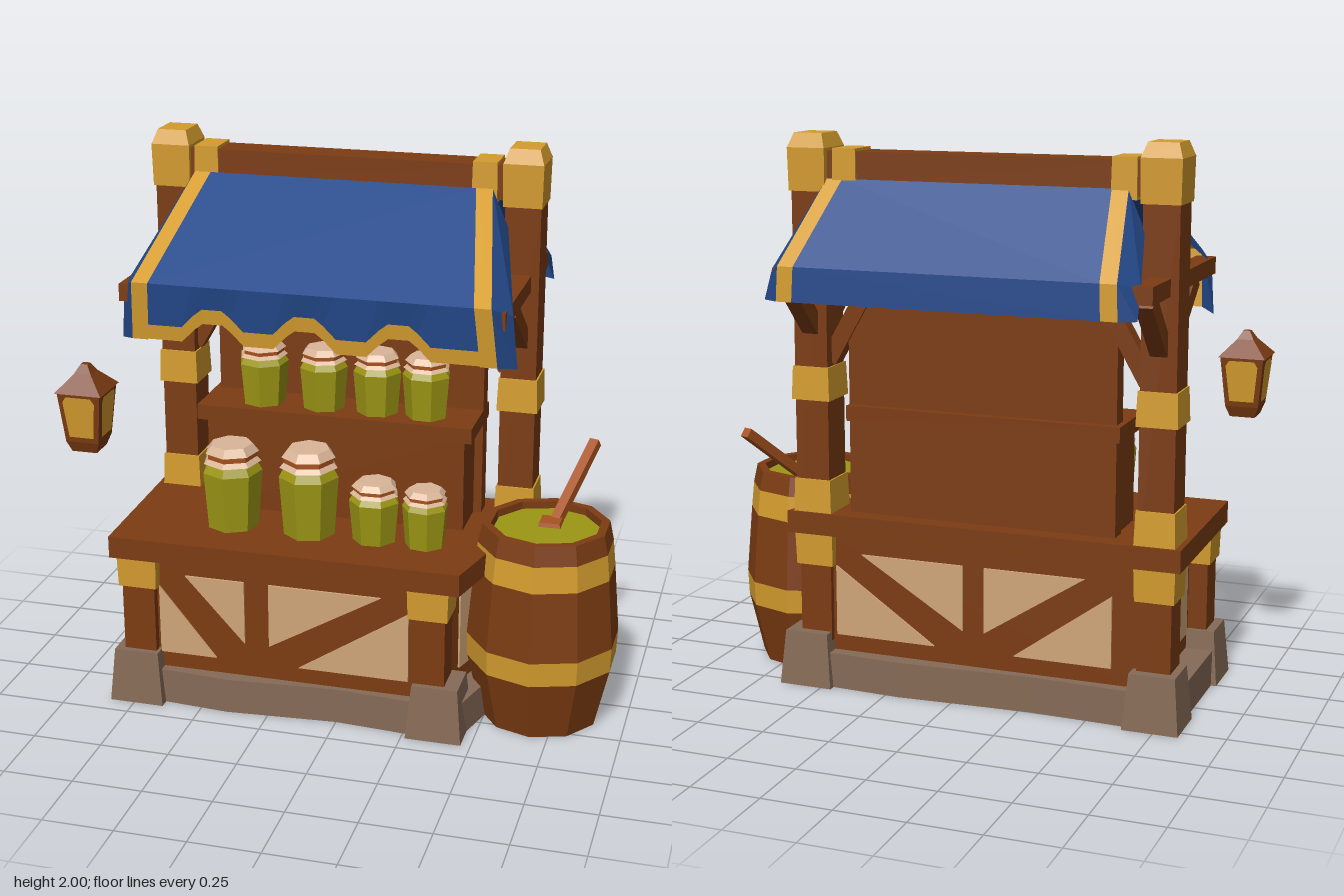
import * as THREE from 'three';

const mat = (name, color, side = THREE.FrontSide) =>
  Object.assign(new THREE.MeshStandardMaterial({ color, flatShading: true, side }), { name });

export function createModel() {
  const wood = mat('brown wood', 0x7c3c12);
  const gold = mat('gold', 0xd49c2e, THREE.DoubleSide);
  const blue = mat('blue cloth', 0x24498a, THREE.DoubleSide);
  const cream = mat('cream plaster', 0xd0a678);
  const stone = mat('stone', 0x866a56);
  const green = mat('pickle green', 0x9c9614);
  const orange = mat('orange wood', 0xa8521f);
  const linen = mat('linen lid', 0xdab698);

  const root = new THREE.Group();
  root.name = 'marketStall';
  const add = (name, geo, m, parent = root) => {
    const mesh = new THREE.Mesh(geo, m);
    mesh.name = name;
    parent.add(mesh);
    return mesh;
  };
  // Box standing on y0, with its top scaled by taper
  const block = (name, m, [x0, x1], [y0, y1], [z0, z1], taper = 1, parent = root) => {
    const geo = new THREE.BoxGeometry(x1 - x0, y1 - y0, z1 - z0);
    const p = geo.attributes.position;
    for (let i = 0; i < p.count; i++) if (p.getY(i) > 0) p.setXYZ(i, p.getX(i) * taper, p.getY(i), p.getZ(i) * taper);
    geo.translate((x0 + x1) / 2, (y0 + y1) / 2, (z0 + z1) / 2);
    return add(name, geo, m, parent);
  };
  // Upright prism over an xz outline
  const prism = (name, m, pts, y0, y1) => {
    const shape = new THREE.Shape(pts.map(([x, z]) => new THREE.Vector2(x, -z)));
    const geo = new THREE.ExtrudeGeometry(shape, { depth: y1 - y0, bevelEnabled: false });
    return add(name, geo.rotateX(-Math.PI / 2).translate(0, y0, 0), m);
  };
  // Square timber between two points
  const beam = (name, m, a, b, w, d = w) => {
    const A = new THREE.Vector3(...a), B = new THREE.Vector3(...b);
    const mesh = add(name, new THREE.BoxGeometry(w, d, A.distanceTo(B)), m);
    mesh.position.copy(A).lerp(B, 0.5);
    mesh.lookAt(B);
    return mesh;
  };
  // Sheet spanned by rows of points
  const sheet = (name, m, rows) => {
    const n = rows[0].length, index = [];
    for (let r = 0; r < rows.length - 1; r++)
      for (let c = 0; c < n - 1; c++) {
        const i = r * n + c;
        index.push(i, i + n, i + 1, i + 1, i + n, i + n + 1);
      }
    const geo = new THREE.BufferGeometry();
    geo.setAttribute('position', new THREE.Float32BufferAttribute(rows.flat(2), 3));
    geo.setIndex(index);
    geo.computeVertexNormals();
    return add(name, geo, m);
  };

  // Stone footing: uneven slab and four corner stones
  prism('footing', stone, [[-0.82, 0.38], [-0.4, 0.41], [0, 0.38], [0.44, 0.41], [0.63, -0.26], [0.2, -0.28], [-0.3, -0.25], [-0.82, -0.27]], 0, 0.13);
  for (const [x, z] of [[-0.74, 0.335], [0.365, 0.335], [0.56, -0.2], [-0.74, -0.2]])
    block('cornerStone', stone, [x - 0.1, x + 0.1], [0, 0.2], [z - 0.095, z + 0.095], 0.82);

  // Counter, narrower at the front
  prism('counterBody', wood, [[-0.72, 0.36], [0.36, 0.36], [0.54, -0.22], [-0.72, -0.22]], 0.1, 0.58);
  prism('counterTop', wood, [[-0.82, 0.43], [0.45, 0.43], [0.63, -0.27], [-0.83, -0.27]], 0.57, 0.65);
  for (const [x, z] of [[-0.73, 0.33], [0.335, 0.33], [0.535, -0.18], [-0.735, -0.18]]) {
    block('counterLeg', wood, [x - 0.06, x + 0.06], [0.15, 0.46], [z - 0.06, z + 0.06]);
    block('legCap', gold, [x - 0.07, x + 0.07], [0.45, 0.57], [z - 0.07, z + 0.07], 1.05);
  }

  // Plaster panels: two triangles beside each diagonal timber
  const panels = (name, list, z, turn) => {
    const g = new THREE.Group();
    g.name = name;
    g.rotation.y = turn;
    for (const [a, b] of list) {
      const s = Math.sign(b - a), lo = 0.19, hi = 0.5;
      for (const pts of [
        [[a, lo], [b - s * 0.11, lo], [a, hi - 0.05]],
        [[a + s * 0.1, hi], [b, hi], [b, lo + 0.07]]]) {
        const shape = new THREE.Shape(pts.map(p => new THREE.Vector2(...p)));
        add('plaster', new THREE.ExtrudeGeometry(shape, { depth: 0.008, bevelEnabled: false }).translate(0, 0, z), cream, g);
      }
    }
    root.add(g);
  };
  panels('frontPanels', [[-0.66, -0.34], [0.26, -0.25]], 0.36, 0);
  panels('backPanels', [[-0.46, 0.03], [0.58, 0.11]], 0.22, Math.PI);
  block('leftPanel', cream, [-0.728, -0.718], [0.19, 0.5], [-0.08, 0.23]);
  const side = add('rightPanel', new THREE.BoxGeometry(0.01, 0.31, 0.3), cream);
  side.position.set(0.452, 0.345, 0.07);
  side.rotation.y = -0.3;

  // Tall posts with gold bands, rafters and braces
  for (const [x, inner] of [[-0.735, 1], [0.535, -1]]) {
    const z = -0.18;
    block('post', wood, [x - 0.063, x + 0.063], [0.6, 1.85], [z - 0.068, z + 0.068]);
    for (const y of [0.65, 1.06])
      block('postBand', gold, [x - 0.073, x + 0.073], [y, y + 0.12], [z - 0.08, z + 0.08], 0.94);
    block('postCap', gold, [x - 0.068, x + 0.068], [1.8, 1.95], [z - 0.08, z + 0.08], 1.04);
    block('postCapTop', gold, [x - 0.07, x + 0.07], [1.95, 2], [z - 0.083, z + 0.083], 0.75);
    beam('rafter', wood, [x, 1.53, 0.35], [x, 1.53, -0.46], 0.07, 0.06);
    beam('frontBrace', wood, [x, 1.32, -0.13], [x, 1.51, 0.13], 0.06);
    beam('backBrace', wood, [x, 1.32, -0.23], [x, 1.51, -0.42], 0.06);
    beam('wallBrace', wood, [x + inner * 0.05, 1.2, z], [x + inner * 0.21, 1.48, z], 0.06);
  }
  block('crossBeam', wood, [-0.7, 0.5], [1.48, 1.57], [-0.23, -0.13]);
  block('ridgeBeam', wood, [-0.69, 0.49], [1.82, 1.94], [-0.235, -0.115]);
  for (const x of [-0.605, 0.4])
    block('ridgeBand', gold, [x - 0.045, x + 0.045], [1.81, 1.95], [-0.245, -0.105], 0.95);

  // Back wall and shelf
  block('backWall', wood, [-0.58, 0.41], [0.64, 1.5], [-0.2, -0.13]);
  block('shelfBase', wood, [-0.57, 0.38], [0.64, 1.0], [-0.18, 0.05]);
  block('shelf', wood, [-0.6, 0.41], [0.99, 1.045], [-0.23, 0.075]);

  // Awning rows: outer y, z, left edge, right edge, then the lip's y, z
  const front = [[1.86, -0.1, -0.645, 0.43, 1.73, -0.1], [1.58, 0.385, -0.71, 0.53, 1.54, 0.305], [1.375, 0.365, -0.72, 0.55, 1.36, 0.31]];
  const back = [[1.845, -0.24, -0.62, 0.465, 1.71, -0.24], [1.57, -0.505, -0.665, 0.53, 1.55, -0.43], [1.45, -0.51, -0.67, 0.535, 1.45, -0.48]];
  const W = 0.058;
  for (const rows of [front, back]) {
    for (const s of [-1, 1]) {
      const edge = r => (s < 0 ? r[2] : r[3]);
      sheet('awningStripe', gold, rows.map(r => [[edge(r), r[0], r[1]], [edge(r) - s * W, r[0], r[1]]]));
      sheet('awningLip', blue, rows.map(r => [[edge(r) + s * 0.057, r[4], r[5]], [edge(r), r[0], r[1]]]));
    }
    const middle = rows === front ? rows.slice(0, 2) : rows;
    sheet('awningCloth', blue, middle.map(r => [[r[2] + W, r[0], r[1]], [r[3] - W, r[0], r[1]]]));
  }

  // Scalloped front edge with gold trim
  const cols = [[-0.662, 0]];
  for (const c of [-0.43, -0.106, 0.217])
    for (const [d, h] of [[-0.11, 0], [-0.065, 0.045], [-0.035, 0.068], [0.035, 0.068], [0.065, 0.045], [0.11, 0]])
      cols.push([c + d, h]);
  cols.push([0.492, 0]);
  const trimTop = cols.map(([x, h]) => [x, 1.43 + h, 0.37]);
  sheet('valance', blue, [cols.map(([x]) => [THREE.MathUtils.clamp(x, -0.652, 0.472), 1.58, 0.385]), trimTop]);
  sheet('valanceTrim', gold, [trimTop, cols.map(([x, h]) => [x, 1.378 + h, 0.365])]);

  // Jars: x, base y, z, radius, height
  const jars = [
    [-0.43, 0.65, 0.2, 0.105, 0.31], [-0.145, 0.65, 0.2, 0.105, 0.32], [0.095, 0.65, 0.2, 0.088, 0.22], [0.277, 0.65, 0.2, 0.08, 0.21],
    [-0.38, 1.045, -0.03, 0.088, 0.225], [-0.155, 1.045, -0.03, 0.085, 0.225], [0.045, 1.045, -0.03, 0.085, 0.225], [0.225, 1.045, -0.03, 0.085, 0.225]];
  jars.forEach(([x, y, z, r, h], i) => {
    const jar = new THREE.Group();
    jar.name = 'jar';
    jar.position.set(x, y, z);
    jar.rotation.y = i * 0.7;
    const ring = (name, m, r1, r0, y0, y1) =>
      add(name, new THREE.CylinderGeometry(r1 * r, r0 * r, (y1 - y0) * h, 7).translate(0, (y0 + y1) / 2 * h, 0), m, jar);
    ring('jarBody', green, 1.03, 0.88, 0, 0.68);
    ring('jarShoulder', green, 0.8, 1.03, 0.68, 0.82);
    ring('lidSkirt', linen, 0.8, 1.0, 0.79, 0.86);
    ring('lidString', orange, 0.85, 0.85, 0.84, 0.91);
    ring('lidTop', linen, 0.72, 0.93, 0.91, 1);
    root.add(jar);
  });

  // Barrel of pickles with a ladle
  const barrel = new THREE.Group();
  barrel.name = 'barrel';
  barrel.position.set(0.687, 0, 0.093);
  const hoops = [[0.215, 0], [0.268, 0.225], [0.272, 0.315], [0.25, 0.57], [0.24, 0.665], [0.225, 0.735]];
  for (let i = 0; i < 5; i++) {
    const [r0, y0] = hoops[i], [r1, y1] = hoops[i + 1];
    add(i % 2 ? 'barrelHoop' : 'barrelStaves', new THREE.CylinderGeometry(r1, r0, y1 - y0, 10, 1, true).translate(0, (y0 + y1) / 2, 0), i % 2 ? gold : wood, barrel);
  }
  add('barrelBottom', new THREE.CircleGeometry(0.215, 10).rotateX(Math.PI / 2).rotateY(Math.PI / 2), wood, barrel);
  const rim = [[0.225, 0.735], [0.195, 0.735], [0.195, 0.66]].map(p => new THREE.Vector2(...p));
  add('barrelRim', new THREE.LatheGeometry(rim.reverse(), 10), Object.assign(wood.clone(), { side: THREE.DoubleSide }), barrel);
  add('pickles', new THREE.CylinderGeometry(0.19, 0.2, 0.04, 10).translate(0, 0.69, 0), green, barrel);
  root.add(barrel);
  beam('ladleHandle', orange, [0.7, 0.69, 0.04], [0.8, 0.92, -0.25], 0.035);
  block('ladleHead', orange, [0.65, 0.74], [0.69, 0.725], [0, 0.09], 0.8);

  // Hanging lantern
  const lantern = new THREE.Group();
  lantern.name = 'lantern';
  lantern.position.set(-0.875, 0, 0.423);
  const square = (name, m, top, bottom, y0, y1) =>
    add(name, new THREE.CylinderGeometry(top * Math.SQRT2, bottom * Math.SQRT2, y1 - y0, 4).rotateY(Math.PI / 4).translate(0, (y0 + y1) / 2, 0), m, lantern);
  square('lanternTip', wood, 0.012, 0.03, 1.26, 1.29);
  square('lanternRoof', wood, 0.03, 0.085, 1.2, 1.26);
  square('lanternBody', wood, 0.078, 0.06, 1.02, 1.2);
  square('lanternBase', wood, 0.06, 0.045, 0.98, 1.02);
  for (let i = 0; i < 4; i++) {
    const pane = new THREE.Shape([[-0.044, 1.04], [0.044, 1.04], [0.058, 1.17], [0.045, 1.19], [-0.045, 1.19], [-0.058, 1.17]].map(p => new THREE.Vector2(...p)));
    const geo = new THREE.ShapeGeometry(pane).translate(0, -1.02, 0).rotateX(0.1).translate(0, 1.02, 0.064);
    add('lanternPane', geo.rotateY(i * Math.PI / 2), gold, lantern);
  }
  root.add(lantern);

  return root;
}
